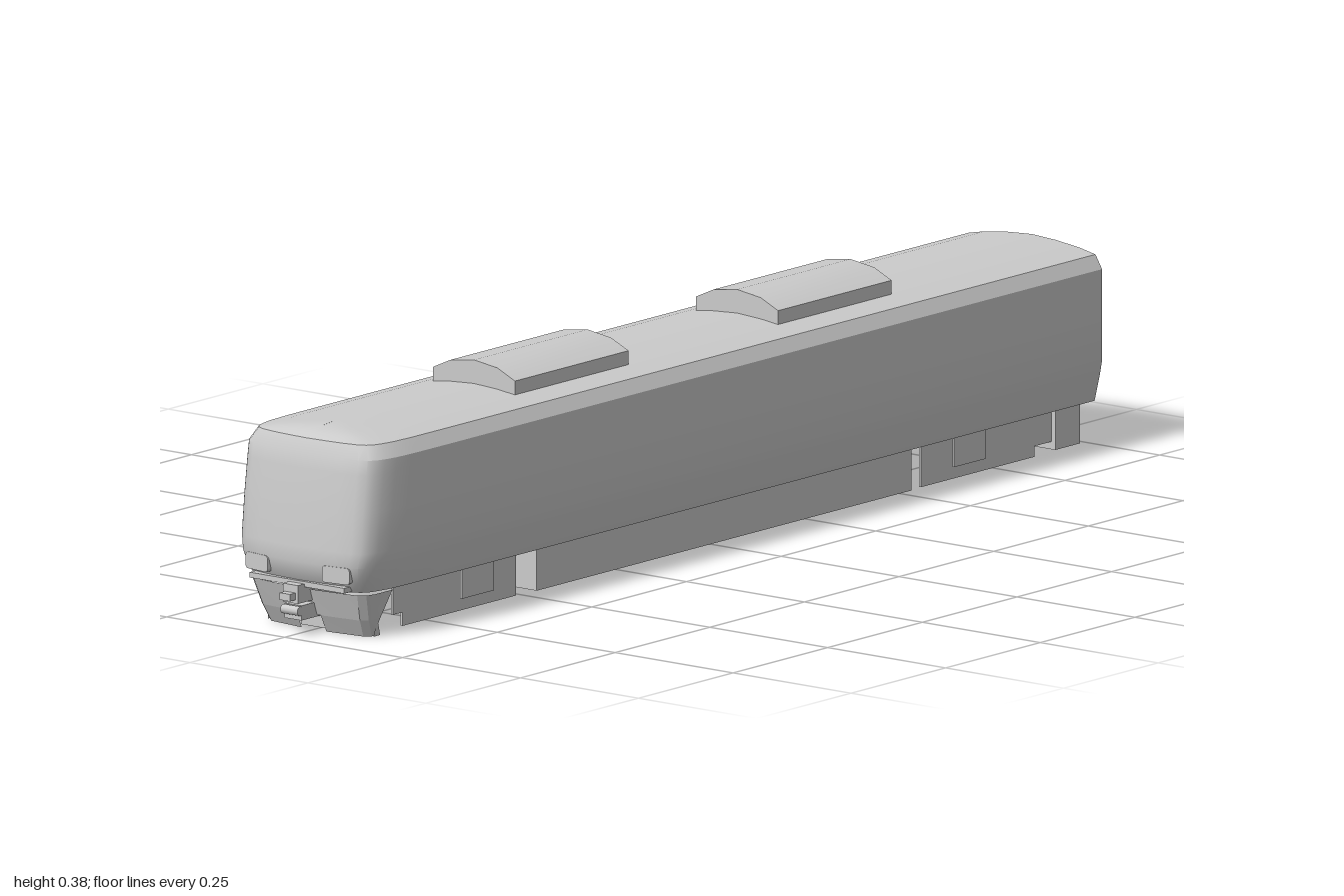
import * as THREE from 'three';
import { toCreasedNormals } from 'three/addons/utils/BufferGeometryUtils.js';

const grey = new THREE.MeshStandardMaterial({ color: 0xcccccc });
const sheet = new THREE.MeshStandardMaterial({ color: 0xcccccc, side: THREE.DoubleSide });

// Half cross-section of the body, bottom to ridge: x, y and how far forward the nose reaches
const section = [
  [0.132, 0.08, 0.955], [0.137, 0.1, 0.968], [0.143, 0.125, 0.975], [0.148, 0.15, 0.973],
  [0.148, 0.22, 0.966], [0.148, 0.28, 0.958], [0.148, 0.305, 0.954], [0.134, 0.328, 0.943],
  [0.1, 0.335, 0.928], [0.05, 0.341, 0.905], [0, 0.344, 0.87],
];
// Plan of the nose: distance behind its tip and width factor
const nosePlan = [
  [0.2, 1], [0.11, 0.995], [0.07, 0.98], [0.045, 0.95], [0.028, 0.91], [0.017, 0.85],
  [0.01, 0.75], [0.005, 0.55], [0.002, 0.3], [0, 0],
];

// Surface through equally long rows of points
function loft(rows, closed) {
  const n = rows[0].length, index = [];
  for (let r = 0; r < rows.length - 1; r++) {
    for (let i = 0; i < (closed ? n : n - 1); i++) {
      const j = (i + 1) % n, a = r * n + i, b = r * n + j, c = a + n, d = b + n;
      index.push(a, b, c, b, d, c);
    }
  }
  const g = new THREE.BufferGeometry();
  g.setAttribute('position', new THREE.Float32BufferAttribute(rows.flat(2), 3));
  g.setIndex(index);
  return toCreasedNormals(g, 0.5);
}

function add(parent, name, geometry, material = grey) {
  const m = new THREE.Mesh(geometry, material);
  m.name = name;
  parent.add(m);
  return m;
}

// Box given by its limits
function box(parent, name, x0, x1, y0, y1, z0, z1) {
  const m = add(parent, name, new THREE.BoxGeometry(x1 - x0, y1 - y0, z1 - z0));
  m.position.set((x0 + x1) / 2, (y0 + y1) / 2, (z0 + z1) / 2);
  return m;
}

function rectPath(path, x, y, w, h) {
  path.moveTo(x, y);
  path.lineTo(x + w, y);
  path.lineTo(x + w, y + h);
  path.lineTo(x, y + h);
  path.closePath();
  return path;
}

function roundedRect(w, h, r) {
  const s = new THREE.Shape();
  s.absarc(w / 2 - r, h / 2 - r, r, 0, Math.PI / 2);
  s.absarc(-w / 2 + r, h / 2 - r, r, Math.PI / 2, Math.PI);
  s.absarc(-w / 2 + r, -h / 2 + r, r, Math.PI, Math.PI * 1.5);
  s.absarc(w / 2 - r, -h / 2 + r, r, Math.PI * 1.5, Math.PI * 2);
  return s;
}

function extrude(shape, depth) {
  return new THREE.ExtrudeGeometry(shape, { depth, bevelEnabled: false, curveSegments: 5 });
}

export function createModel() {
  const car = new THREE.Group();
  car.name = 'railcar';

  // Body shell with rounded nose
  const ring = [...section, ...section.slice(0, -1).reverse().map(([x, y, z]) => [-x, y, z])];
  const rows = [ring.map(([x, y]) => [x, y, -0.975])];
  for (const [back, width] of nosePlan) {
    rows.push(ring.map(([x, y, z]) => [x * width, y, z - back]));
  }
  add(car, 'body', loft(rows, true));
  const end = add(car, 'rearWall', new THREE.ShapeGeometry(
    new THREE.Shape(ring.map(([x, y]) => new THREE.Vector2(x, y)))));
  end.rotation.y = Math.PI;
  end.position.z = -0.975;

  // Roof units
  const unitShape = new THREE.Shape([
    [-0.087, 0.33], [0.087, 0.33], [0.087, 0.36], [0.05, 0.377], [0, 0.384], [-0.05, 0.377], [-0.087, 0.36],
  ].map(p => new THREE.Vector2(...p)));
  for (const z of [0.2, -0.495]) {
    const unit = add(car, 'roofUnit', toCreasedNormals(extrude(unitShape, 0.3), 0.4));
    unit.position.z = z;
  }

  // Rear gangway: frame with a recessed door
  const frame = rectPath(new THREE.Shape(), -0.04, 0.1, 0.08, 0.195);
  frame.holes.push(rectPath(new THREE.Path(), -0.028, 0.112, 0.056, 0.171));
  add(car, 'gangwayFrame', extrude(frame, 0.03)).position.z = -1;
  box(car, 'gangwayDoor', -0.028, 0.028, 0.112, 0.283, -0.985, -0.97);

  // Headlights, following the curve of the nose
  for (const s of [-1, 1]) {
    const lamp = add(car, 'headlight', extrude(roundedRect(0.053, 0.028, 0.006), 0.016));
    lamp.position.set(s * 0.0815, 0.111, 0.954);
    lamp.rotation.y = s * 0.14;
  }

  // Front skirt wrapping round below the nose: half width, height, front, rear edge
  const levels = [[0.112, 0, 0.922, 0.905], [0.118, 0.03, 0.937, 0.895], [0.126, 0.076, 0.953, 0.872]];
  const skirtRows = levels.map(([w, y, front, rear]) => {
    const half = [[w, rear], [w, front - 0.035], [w * 0.96, front - 0.018], [w * 0.87, front - 0.008], [0.026, front]];
    return [...half.map(([x, z]) => [-x, y, z]), ...half.reverse().map(([x, z]) => [x, y, z])];
  });
  // Lower lip split by the coupler notch
  const lip = skirtRows.slice(0, 2);
  for (const [a, b] of [[0, 5], [5, 10]]) {
    add(car, 'skirtLip', loft(lip.map(r => r.slice(a, b)), false), sheet);
  }
  add(car, 'frontSkirt', loft(skirtRows.slice(1), false), sheet);
  box(car, 'notchPlate', -0.026, 0.026, 0.006, 0.034, 0.915, 0.925);
  box(car, 'bumperLedge', -0.1, 0.1, 0.082, 0.091, 0.94, 0.968);

  // Couplers
  box(car, 'couplerHead', -0.016, 0.016, 0.056, 0.087, 0.93, 0.985);
  box(car, 'couplerShank', -0.011, 0.011, 0.062, 0.074, 0.98, 1);
  box(car, 'couplerBase', -0.018, 0.018, 0.027, 0.052, 0.92, 0.978);
  const pin = add(car, 'couplerPin', new THREE.CylinderGeometry(0.008, 0.008, 0.036, 12));
  pin.rotation.z = Math.PI / 2;
  pin.position.set(0, 0.043, 0.981);
  box(car, 'rearCoupler', -0.011, 0.011, 0.058, 0.074, -1, -0.85);
  box(car, 'rearCouplerHead', -0.022, 0.022, 0.058, 0.068, -1, -0.98);

  // Underframe: side skirts closed by bulkheads, open below
  for (const s of [-1, 1]) {
    const plate = (name, x, y0, y1, z0, z1) =>
      box(car, name, s * x - 0.002, s * x + 0.002, y0, y1, z0, z1);
    plate('sideSkirt', 0.127, 0.01, 0.082, -0.495, 0.495);
    box(car, 'bulkhead', -0.127, 0.127, 0.01, 0.082, s * 0.493 - 0.002, s * 0.493 + 0.002);

    // Bogie sides and axle covers
    for (const e of [-1, 1]) {
      const c = e * 0.685;
      plate('bogieSide', 0.115, 0.007, 0.082, c - 0.15, c + 0.15);
      plate('axleCover', 0.127, 0.03, 0.082, e * 0.65 - 0.042, e * 0.65 + 0.042);
    }

    // End equipment
    const x = s * 0.1;
    box(car, 'rearBox', x - 0.025, x + 0.025, 0.012, 0.082, -0.945, -0.88);
    plate('rearBracket', 0.115, 0.025, 0.082, -0.88, -0.835);
    plate('frontBracket', 0.115, 0.03, 0.082, 0.835, 0.86);
  }
  return car;
}
